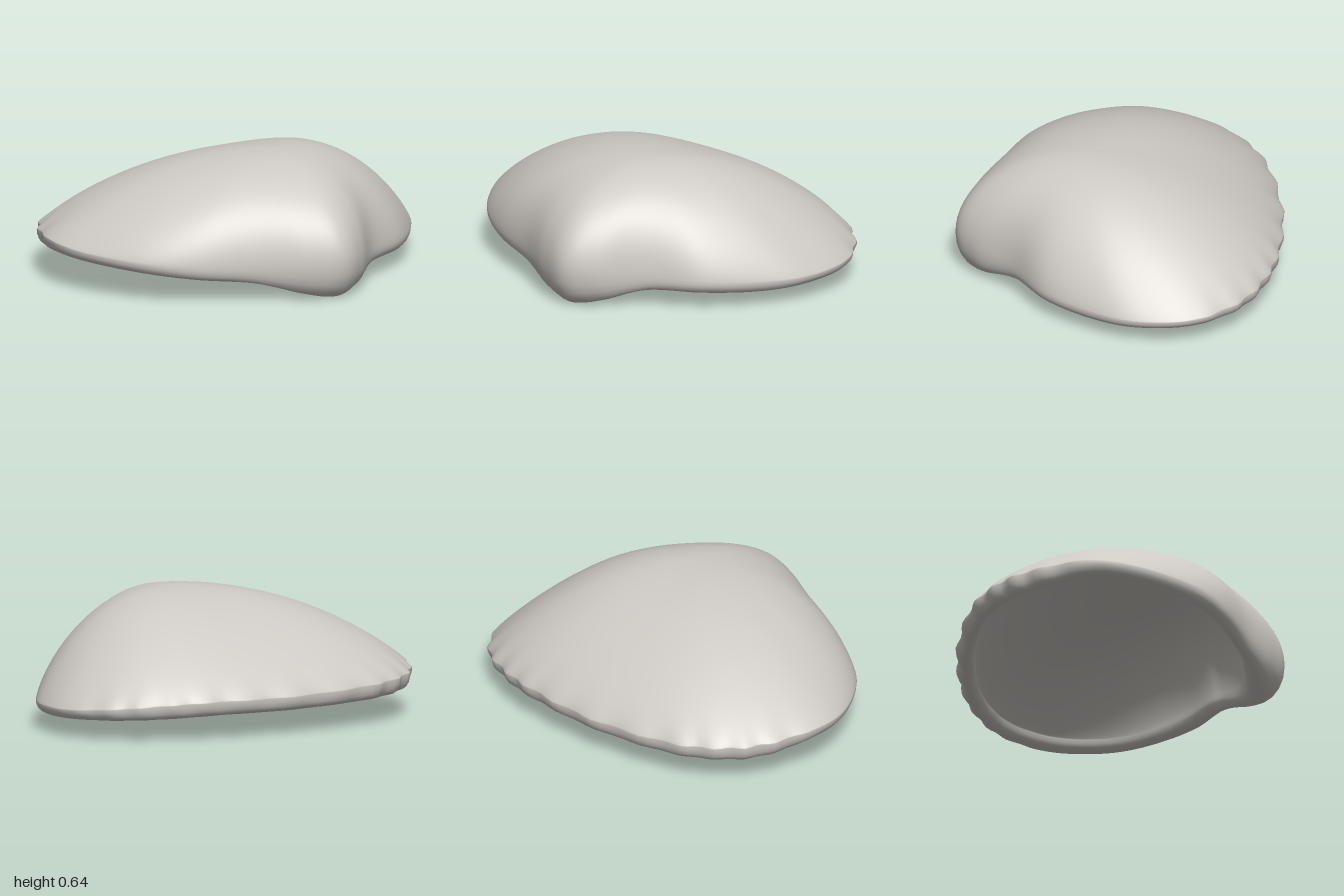
import * as THREE from 'three';

// Rim stations, counter-clockwise from the beak: x, z, height of widest point,
// height of lower edge, then two dome shape exponents (steepness, fullness)
const RIM = [
  [0.05, 0.82, 0.18, 0.0, 0.46, 2.05], [0.2, 0.75, 0.17, 0.03, 0.5, 2.1],
  [0.38, 0.58, 0.15, 0.085, 0.58, 2.2], [0.65, 0.44, 0.14, 0.085, 0.65, 2.2],
  [0.85, 0.22, 0.13, 0.075, 0.76, 2.2], [0.97, 0.0, 0.13, 0.08, 0.88, 2.2],
  [0.995, -0.28, 0.14, 0.09, 0.92, 2.15], [0.87, -0.53, 0.16, 0.1, 0.88, 2.05],
  [0.66, -0.68, 0.18, 0.11, 0.86, 1.95], [0.4, -0.77, 0.19, 0.12, 0.86, 1.9],
  [0.0, -0.825, 0.19, 0.12, 0.86, 1.9], [-0.45, -0.8, 0.2, 0.125, 0.86, 1.95],
  [-0.72, -0.7, 0.21, 0.13, 0.88, 2.05], [-0.89, -0.53, 0.22, 0.14, 0.92, 2.15],
  [-1.0, -0.25, 0.235, 0.17, 0.93, 2.2], [-0.97, 0.0, 0.22, 0.165, 0.86, 2.2],
  [-0.82, 0.28, 0.2, 0.145, 0.72, 2.2], [-0.62, 0.46, 0.18, 0.12, 0.58, 2.2],
  [-0.33, 0.61, 0.17, 0.09, 0.52, 2.15], [-0.12, 0.75, 0.17, 0.03, 0.48, 2.1],
];
const APEX = { x: 0.1, y: 0.64, z: 0.15 };
const WALL = 0.075;
const SEGMENTS = 160;

// Height fraction of the dome at plan radius r (0 at the apex, 1 at the rim)
const dome = (r, e, p) => Math.pow(Math.max(0, 1 - Math.pow(r, p)), e);

// Cross-section from outer apex, over the rounded lip, to inner apex.
// w is the rim point, s the softened rim that shapes the upper dome.
function section(w, s, lower, e, p, scallop) {
  const dx = w.x - APEX.x, dz = w.z - APEX.z;
  const sx = s.x - APEX.x, sz = s.z - APEX.z;
  const length = Math.hypot(dx, dz);
  const beak = Math.max(0, 0.08 - lower);
  const lowInset = 0.05 + 0.6 * beak;
  const inInset = 0.1 + 0.9 * beak;
  const pts = [];
  const add = (r, y) => {
    const m = Math.pow(r, 4);
    const k = r * (1 - scallop * Math.pow(r, 20));
    pts.push([APEX.x + k * (sx + (dx - sx) * m), y, APEX.z + k * (sz + (dz - sz) * m)]);
  };

  // Outer dome, with rings closer together towards the rim
  const N = 22;
  for (let i = 0; i <= N; i++) {
    const r = Math.sin((i / N) * Math.PI / 2);
    add(r, w.y + (APEX.y - w.y) * dome(r, e, p));
  }
  // Lip: outer quarter round, then inner quarter round
  for (let i = 1; i <= 5; i++) {
    const a = (i / 5) * Math.PI / 2;
    add(1 - (lowInset / length) * (1 - Math.cos(a)), w.y - (w.y - lower) * Math.sin(a));
  }
  const innerY = lower + 0.05;
  for (let i = 1; i <= 4; i++) {
    const a = (i / 4) * Math.PI / 2;
    add(1 - (lowInset + (inInset - lowInset) * Math.sin(a)) / length,
      lower + (innerY - lower) * (1 - Math.cos(a)));
  }
  // Hollow inside
  const k = 1 - inInset / length;
  for (let i = N - 1; i >= 0; i--) {
    const r = Math.sin((i / N) * Math.PI / 2);
    add(r * k, innerY + (APEX.y - WALL - innerY) * dome(r, e, p));
  }
  return pts;
}

function shellGeometry() {
  const closedCurve = (points) => new THREE.CatmullRomCurve3(points, true, 'catmullrom', 0.5);
  const outline = closedCurve(RIM.map(([x, z, y]) => new THREE.Vector3(x, y, z)));
  const traits = closedCurve(RIM.map(([, , , low, e, p]) => new THREE.Vector3(low, e, p)));

  // Rim averaged over its neighbours, so the beak's flanks fade out upwards
  const softened = (u) => {
    const sum = new THREE.Vector3();
    for (let i = -3; i <= 3; i++) sum.add(outline.getPoint((u + i * 0.027 + 1) % 1));
    const centre = new THREE.Vector3(APEX.x, 0, APEX.z);
    return sum.divideScalar(7).sub(centre).multiplyScalar(1.05).add(centre);
  };

  const positions = [], index = [];
  let rows = 0;
  for (let i = 0; i < SEGMENTS; i++) {
    const u = i / SEGMENTS;
    const w = outline.getPoint(u), t = traits.getPoint(u);
    // Scalloped growth edge along the back
    const back = THREE.MathUtils.smoothstep(-w.z, 0.2, 0.55);
    const scallop = 0.009 * back * (1 - Math.cos(u * Math.PI * 2 * 32));
    const pts = section(w, softened(u), Math.max(0, t.x), t.y, t.z, scallop);
    rows = pts.length;
    pts.forEach((p) => positions.push(...p));
  }
  for (let i = 0; i < SEGMENTS; i++) {
    const n = (i + 1) % SEGMENTS;
    for (let j = 0; j < rows - 1; j++) {
      const a = i * rows + j, b = a + 1, d = n * rows + j, c = d + 1;
      if (j < rows - 2) index.push(a, b, c);
      if (j > 0) index.push(a, c, d);
    }
  }
  const geometry = new THREE.BufferGeometry();
  geometry.setAttribute('position', new THREE.Float32BufferAttribute(positions, 3));
  geometry.setIndex(index);
  geometry.computeVertexNormals();
  return geometry;
}

export function createModel() {
  const group = new THREE.Group();
  group.name = 'seashell';
  const shellGrey = new THREE.MeshStandardMaterial({ color: 0xcdc9c3 });
  shellGrey.name = 'shell grey';
  const shell = new THREE.Mesh(shellGeometry(), shellGrey);
  shell.name = 'shellValve';
  group.add(shell);
  return group;
}
